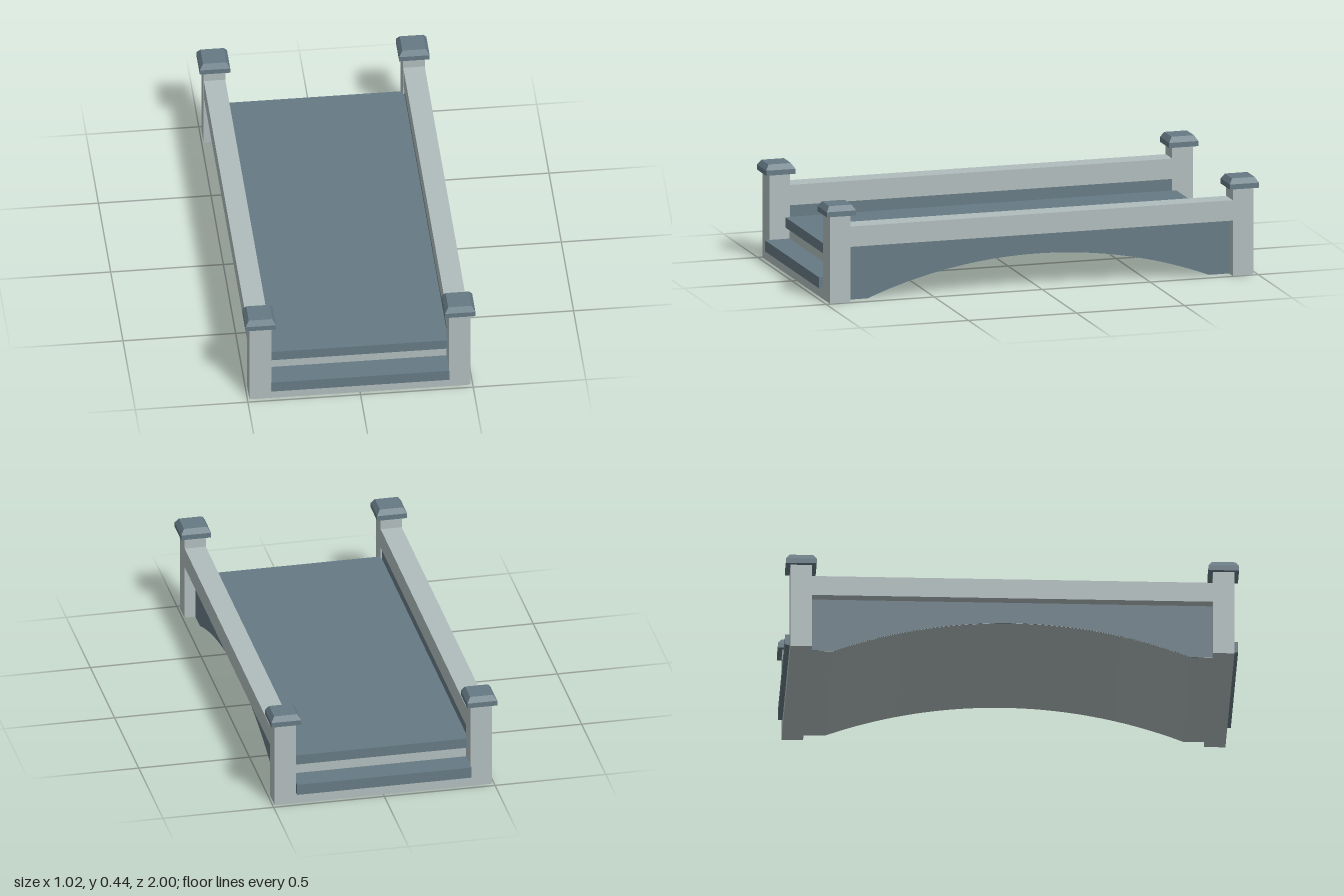
import * as THREE from 'three';

const stone = new THREE.MeshStandardMaterial({ color: 0xb0bcbc, flatShading: true });
const slate = new THREE.MeshStandardMaterial({ color: 0x667a84, flatShading: true });

const ARCH_HALF = 0.79, ARCH_RISE = 0.15;
const RADIUS = (ARCH_HALF ** 2 + ARCH_RISE ** 2) / (2 * ARCH_RISE);

function add(parent, name, geometry, material) {
  const mesh = new THREE.Mesh(geometry, material);
  mesh.name = name;
  parent.add(mesh);
  return mesh;
}

// Box given by its minimum and maximum on each axis
function box(parent, name, material, [x0, x1], [y0, y1], [z0, z1]) {
  const mesh = add(parent, name, new THREE.BoxGeometry(x1 - x0, y1 - y0, z1 - z0), material);
  mesh.position.set((x0 + x1) / 2, (y0 + y1) / 2, (z0 + z1) / 2);
  return mesh;
}

// Side profile (z, y): an outline over the ends and top, closed by the arch below
function archedProfile(outline, lift) {
  const points = outline.map(([z, y]) => new THREE.Vector2(z, y));
  for (let i = 0; i <= 36; i++) {
    const z = -ARCH_HALF + (2 * ARCH_HALF * i) / 36;
    const y = Math.sqrt(RADIUS ** 2 - z * z) - (RADIUS - ARCH_RISE);
    points.push(new THREE.Vector2(z, Math.max(0, y) + lift));
  }
  return new THREE.Shape(points);
}

// Extrude a side profile across the width, centred on x = 0
function extrudeAcross(shape, width) {
  const geometry = new THREE.ExtrudeGeometry(shape, { depth: width, bevelEnabled: false });
  return geometry.translate(0, 0, -width / 2).rotateY(-Math.PI / 2);
}

export function createModel() {
  const bridge = new THREE.Group();
  bridge.name = 'footbridge';

  // Stepped body with the arched soffit
  const steps = [[0.98, 0], [0.98, 0.06], [0.887, 0.06], [0.887, 0.16],
    [-0.887, 0.16], [-0.887, 0.06], [-0.98, 0.06], [-0.98, 0]];
  add(bridge, 'archedBody', extrudeAcross(archedProfile(steps, 0), 0.88), stone);

  // Walking deck
  box(bridge, 'deck', slate, [-0.41, 0.41], [0.151, 0.197], [-0.885, 0.885]);

  for (const end of [1, -1]) {
    // Deck nosing and lower tread between the posts
    const span = (a, b) => [Math.min(a * end, b * end), Math.max(a * end, b * end)];
    box(bridge, 'deckNosing', slate, [-0.394, 0.394], [0.151, 0.197], span(0.885, 0.905));
    box(bridge, 'stepTread', slate, [-0.394, 0.394], [0.05, 0.1], span(0.88, 1));
  }

  for (const side of [1, -1]) {
    // Spandrel panel, recessed under the handrail
    const ends = [[0.89, 0.001], [0.89, 0.255], [-0.89, 0.255], [-0.89, 0.001]];
    const panel = add(bridge, 'sidePanel', extrudeAcross(archedProfile(ends, 0.001), 0.042), slate);
    panel.position.x = side * 0.421;

    const rail = box(bridge, 'handrail', stone, [-0.0475, 0.0475], [0.25, 0.342], [-0.89, 0.89]);
    rail.position.x = side * 0.4425;

    // Corner posts with chamfered caps
    for (const end of [1, -1]) {
      const post = new THREE.Group();
      post.name = 'cornerPost';
      post.position.set(side * 0.4425, 0, end * 0.9325);
      bridge.add(post);
      box(post, 'postShaft', stone, [-0.0485, 0.0485], [0, 0.4], [-0.0475, 0.0475]);
      box(post, 'capBase', slate, [-0.0675, 0.0675], [0.395, 0.418], [-0.0675, 0.0675]);
      const r = Math.SQRT2;
      const top = new THREE.CylinderGeometry(0.052 * r, 0.0675 * r, 0.024, 4).rotateY(Math.PI / 4);
      add(post, 'capTop', top, slate).position.y = 0.43;
    }
  }
  return bridge;
}
